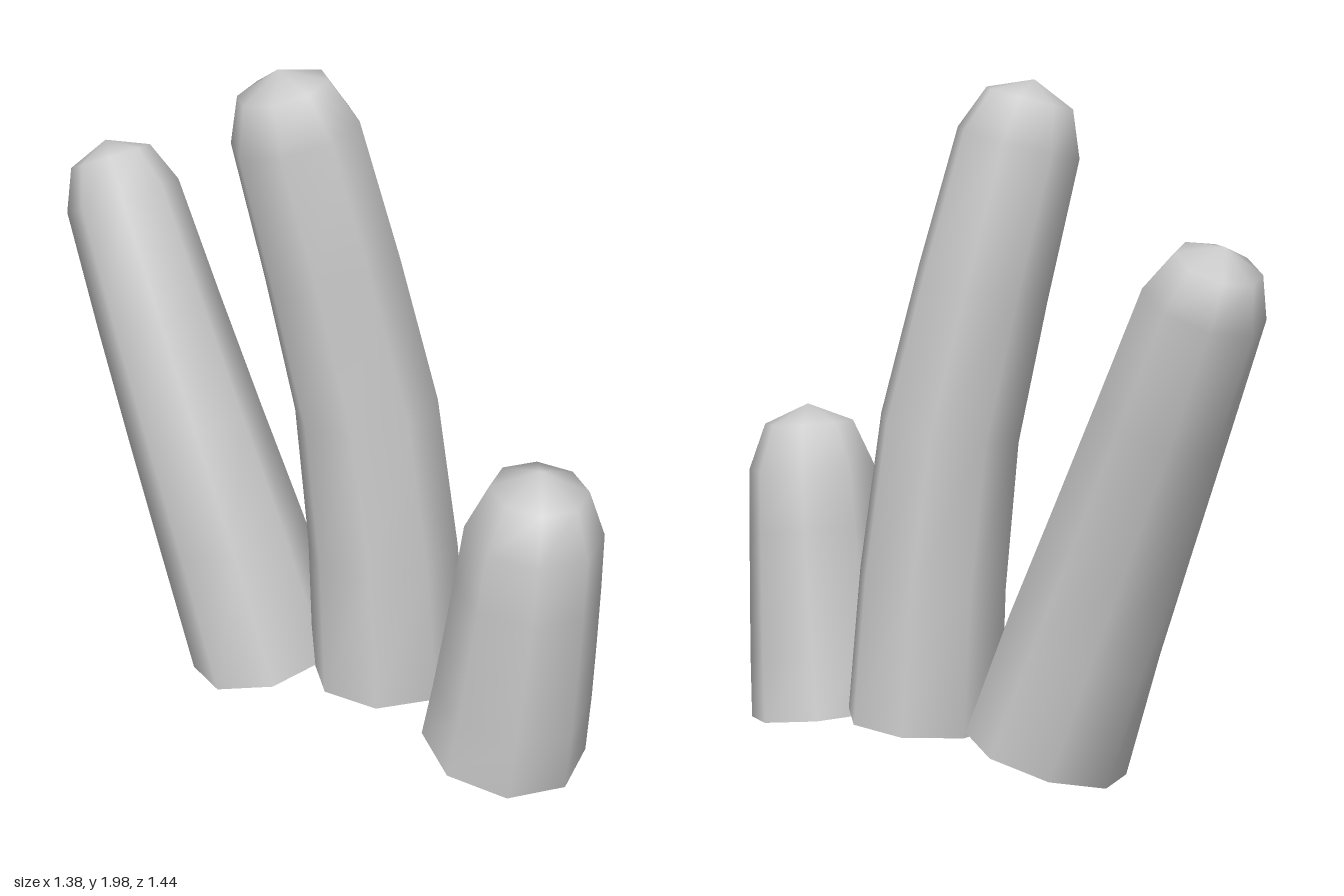
import * as THREE from 'three';

const SIDES = 8;

// Tapered tube swept along five axis points, open at the base, closed by a domed tip.
function makeFinger({ name, points, base, r0, r1, phase }) {
  const axis = points.map(p => new THREE.Vector3(...p));
  const curve = new THREE.CatmullRomCurve3(axis);
  const last = axis.length - 1;
  const positions = [], indices = [];

  const addRing = (centre, dir, radius) => {
    const u = new THREE.Vector3(1, 0, 0).addScaledVector(dir, -dir.x).normalize();
    const w = new THREE.Vector3().crossVectors(u, dir);
    for (let j = 0; j < SIDES; j++) {
      const a = phase + (j / SIDES) * Math.PI * 2;
      const p = centre.clone()
        .addScaledVector(u, Math.cos(a) * radius)
        .addScaledVector(w, Math.sin(a) * radius);
      positions.push(p.x, p.y, p.z);
    }
  };

  // Shaft rings
  axis.forEach((p, i) => {
    const dir = i === 0 ? new THREE.Vector3(...base).normalize() : curve.getTangent(i / last);
    addRing(p, dir, THREE.MathUtils.lerp(r0, r1, i / last));
  });

  // Domed tip: one ring at 45 degrees and the apex
  const tipDir = curve.getTangent(1);
  const h = r1 * Math.SQRT1_2;
  addRing(axis[last].clone().addScaledVector(tipDir, h), tipDir, h);
  const apex = axis[last].clone().addScaledVector(tipDir, r1);
  positions.push(apex.x, apex.y, apex.z);

  const rings = axis.length + 1;
  const apexIndex = rings * SIDES;
  for (let i = 0; i < rings; i++) {
    for (let j = 0; j < SIDES; j++) {
      const a = i * SIDES + j;
      const b = i * SIDES + (j + 1) % SIDES;
      if (i === rings - 1) indices.push(b, a, apexIndex);
      else indices.push(b, a, a + SIDES, b, a + SIDES, b + SIDES);
    }
  }

  const geometry = new THREE.BufferGeometry();
  geometry.setAttribute('position', new THREE.Float32BufferAttribute(positions, 3));
  geometry.setIndex(indices);
  geometry.computeVertexNormals();
  const material = new THREE.MeshStandardMaterial({ color: 0xcccccc, side: THREE.DoubleSide });
  const mesh = new THREE.Mesh(geometry, material);
  mesh.name = name;
  return mesh;
}

export function createModel() {
  const group = new THREE.Group();
  group.name = 'fingerCluster';
  const deg = Math.PI / 180;

  group.add(
    makeFinger({
      name: 'middleFinger',
      points: [[0.175, 0.13, 0.1], [0.15, 0.55, 0.095], [0.1, 1, 0.08], [0.005, 1.42, 0.06], [-0.095, 1.82, 0.046]],
      base: [-0.05, 1, 0], r0: 0.235, r1: 0.183, phase: 20 * deg,
    }),
    makeFinger({
      name: 'backFinger',
      points: [[-0.16, 0.08, -0.135], [-0.26, 0.45, -0.215], [-0.35, 0.77, -0.315], [-0.44, 1.1, -0.43], [-0.525, 1.425, -0.555]],
      base: [-0.27, 1, -0.06], r0: 0.24, r1: 0.172, phase: 5 * deg,
    }),
    makeFinger({
      name: 'frontFinger',
      points: [[0.45, 0.06, 0.445], [0.463, 0.25, 0.473], [0.473, 0.44, 0.498], [0.483, 0.63, 0.518], [0.491, 0.81, 0.535]],
      base: [0.09, 1, 0.15], r0: 0.24, r1: 0.193, phase: 10 * deg,
    }),
  );
  return group;
}
